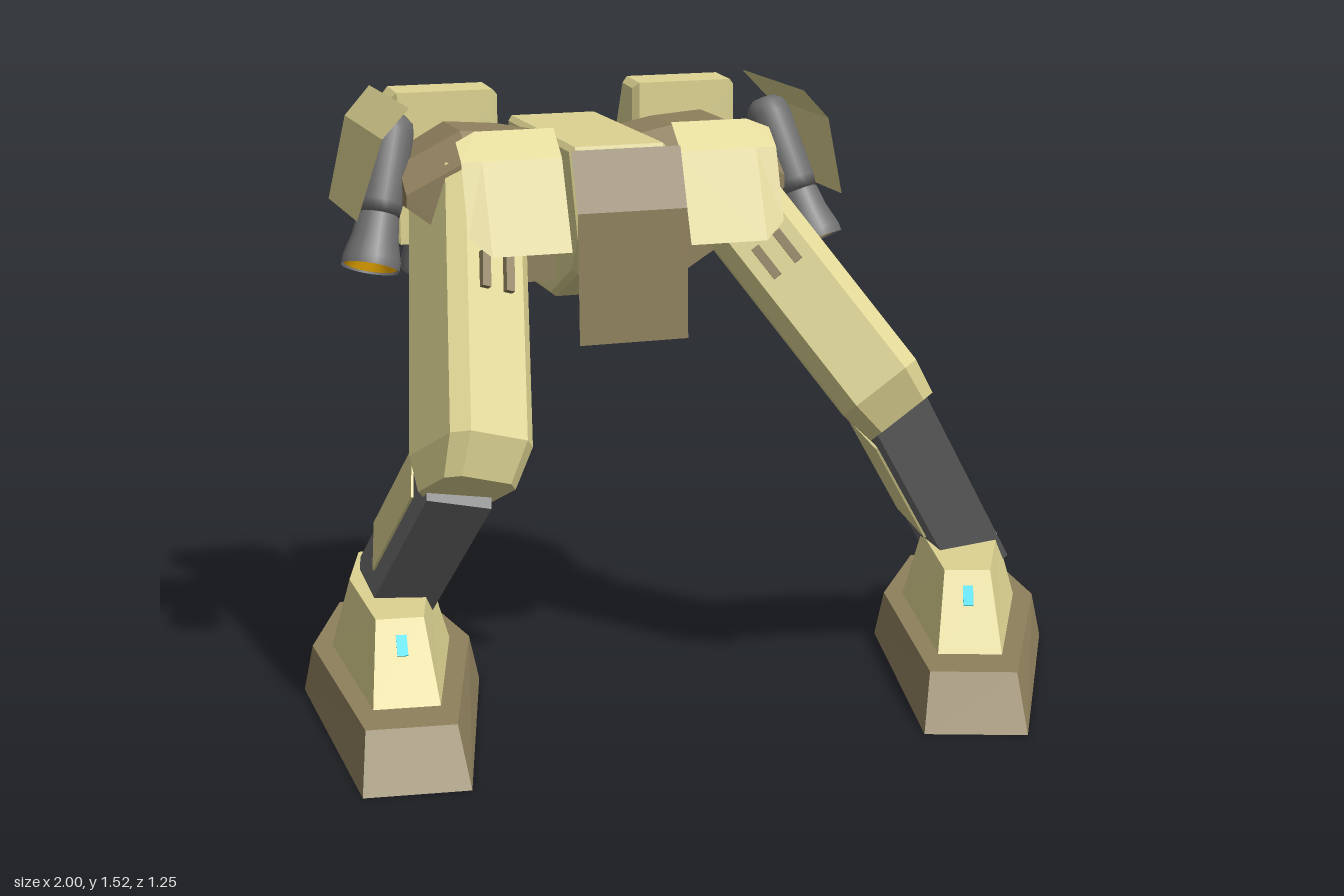
import * as THREE from 'three';

const V = (x, y, z) => new THREE.Vector3(x, y, z);
const paint = (color, extra = {}) => new THREE.MeshStandardMaterial({ color, ...extra });
const flat = { flatShading: true };
const TAN = paint(0xddd391, flat), BROWN = paint(0x8f805d, flat), GREY = paint(0x6e6e6e, flat);
const TAN_SHEET = paint(0xddd391, { ...flat, side: THREE.DoubleSide });
const BROWN_SHEET = paint(0x8f805d, { ...flat, side: THREE.DoubleSide });
const METAL = paint(0x6e6e6e, { side: THREE.DoubleSide });
const GLOW = paint(0xffb800, { side: THREE.DoubleSide }), CYAN = paint(0x18d5e8);
const MID = -0.285; // the hips mirror about this x

function add(parent, name, geometry, material) {
  const mesh = new THREE.Mesh(geometry, material);
  mesh.name = name;
  parent.add(mesh);
  return mesh;
}

function fromTriangles(points) {
  const g = new THREE.BufferGeometry().setFromPoints(points);
  g.computeVertexNormals();
  return g;
}

// Closed solid from rings stacked upward, each counter-clockwise seen from above
function loft(rings) {
  const out = [], n = rings[0].length, top = rings[rings.length - 1], low = rings[0];
  for (let r = 0; r + 1 < rings.length; r++) {
    for (let i = 0; i < n; i++) {
      const j = (i + 1) % n, a = rings[r], b = rings[r + 1];
      out.push(a[i], a[j], b[j], a[i], b[j], b[i]);
    }
  }
  for (let i = 1; i + 1 < n; i++) out.push(top[0], top[i], top[i + 1], low[0], low[i + 1], low[i]);
  return fromTriangles(out);
}

// Thin folded plate from rows of points
function sheet(rows) {
  const out = [];
  for (let r = 0; r + 1 < rows.length; r++) {
    for (let i = 0; i + 1 < rows[r].length; i++) {
      const a = rows[r], b = rows[r + 1];
      out.push(a[i], b[i], b[i + 1], a[i], b[i + 1], a[i + 1]);
    }
  }
  return fromTriangles(out);
}

// Side profile of [z, y] points given width along x, with a small bevel
function slab(profile, width, bevel) {
  const shape = new THREE.Shape(profile.map(([z, y]) => new THREE.Vector2(-z, y)));
  const g = new THREE.ExtrudeGeometry(shape, {
    depth: width - 2 * bevel, bevelEnabled: bevel > 0, bevelSize: bevel,
    bevelThickness: bevel, bevelOffset: -bevel, bevelSegments: 1,
  });
  return g.translate(0, 0, bevel - width / 2).rotateY(Math.PI / 2);
}

// Chamfered rectangle ring at height y, from z = back to z = front
function ringAt(y, w, back, front, c) {
  const a = w / 2;
  return [[a, front - c], [a, back + c], [a - c, back], [c - a, back], [-a, back + c], [-a, front - c], [c - a, front], [a - c, front]]
    .map(([x, z]) => V(x, y, z));
}

// Group whose origin is at top, whose -y runs to bottom and whose x follows side
function limb(parent, name, top, bottom, side) {
  const group = new THREE.Group();
  const up = top.clone().sub(bottom).normalize();
  const x = side.clone().addScaledVector(up, -side.dot(up)).normalize();
  group.name = name;
  group.quaternion.setFromRotationMatrix(new THREE.Matrix4().makeBasis(x, up, x.clone().cross(up)));
  group.position.copy(top);
  parent.add(group);
  return group;
}

// Rocket nozzle opening downward, with a glowing inside
function nozzle(parent, radius, height, y) {
  const bell = [[0.55, 1], [0.72, 0.9], [0.8, 0.55], [1, 0.15], [1, 0]];
  const profile = bell.map(([r, h]) => new THREE.Vector2(r * radius, (h - 1) * height));
  add(parent, 'nozzle', new THREE.LatheGeometry(profile, 20), METAL).position.y = y;
  const glow = new THREE.ConeGeometry(radius * 0.9, height * 0.6, 20, 1, true);
  add(parent, 'nozzleGlow', glow, GLOW).position.y = y - height * 0.67;
}

function addLeg(root, { name, hip, thighEnd, thighSide, knee, ankle, shinSide }) {
  // Thigh with chamfered edges and two vents
  const L = hip.distanceTo(thighEnd);
  const thigh = limb(root, name + 'Thigh', hip, thighEnd, thighSide);
  add(thigh, 'thighArmor', loft([
    ringAt(-L, 0.19, -0.1, 0.08, 0.03), ringAt(-L + 0.09, 0.22, -0.12, 0.14, 0.035),
    ringAt(-0.04, 0.22, -0.12, 0.125, 0.035), ringAt(0.05, 0.17, -0.08, 0.08, 0.03),
  ]), TAN);
  for (const s of [-1, 1]) {
    add(thigh, 'thighVent', new THREE.BoxGeometry(0.022, 0.09, 0.03), BROWN).position.set(s * 0.032, -0.31, 0.132);
  }
  // Shin with armour wrapped round its back
  const S = knee.distanceTo(ankle);
  const shin = limb(root, name + 'Shin', knee, ankle, shinSide);
  add(shin, 'shinFrame', new THREE.BoxGeometry(0.155, S + 0.04, 0.2), GREY).position.y = -S / 2 - 0.02;
  add(shin, 'shinArmor', new THREE.BoxGeometry(0.167, S * 0.6, 0.135), TAN).position.set(0, -S * 0.5, -0.045);
}

// Six-sided foot slice: half widths at toe, middle and heel, then toe and heel z
function footRing(y, toe, mid, heel, zToe, zHeel) {
  return [[mid, -0.18], [heel, zHeel], [-heel, zHeel], [-mid, -0.18], [-toe, zToe], [toe, zToe]]
    .map(([x, z]) => V(x, y, z));
}

function addFoot(root, name, x, z, turn) {
  const foot = new THREE.Group();
  foot.name = name + 'Foot';
  foot.position.set(x, 0, z);
  foot.rotation.y = turn;
  root.add(foot);
  add(foot, 'sole', loft([
    footRing(0, 0.125, 0.222, 0.13, 0.567, -0.555), footRing(0.115, 0.107, 0.198, 0.11, 0.44, -0.52),
  ]), BROWN);
  add(foot, 'footArmor', loft([
    footRing(0.115, 0.08, 0.148, 0.085, 0.31, -0.46), footRing(0.285, 0.058, 0.1, 0.062, 0.15, -0.41),
  ]), TAN);
  const lamp = add(foot, 'toeLamp', new THREE.BoxGeometry(0.026, 0.055, 0.006), CYAN);
  lamp.position.set(0, 0.232, 0.2);
  lamp.rotation.x = -0.755;
}

function addHipSide(root, s) {
  const X = (u) => MID + s * u;
  const side = new THREE.Group();
  side.name = s > 0 ? 'leftHip' : 'rightHip';
  root.add(side);

  // Hip block, its underside rising and its top falling outward
  const block = [[0.1, 1.08, 1.41, 0.05], [0.2, 1.08, 1.43, 0.05], [0.33, 1.16, 1.44, 0.05], [0.475, 1.27, 1.36, 0.02]];
  const rows = block.map(([u, y0, y1, z]) => [
    V(X(u), y0, z), V(X(u), y1 - 0.06, z), V(X(u), y1, z - 0.08),
    V(X(u), y1, -0.2), V(X(u), y1 - 0.06, -0.27), V(X(u), y0, -0.27), V(X(u), y0, z),
  ]);
  add(side, 'hipBlock', sheet(rows), BROWN_SHEET);
  const end = rows[3];
  add(side, 'hipBlockEnd', sheet([end.slice(0, 3), [end[5], end[4], end[3]]]), BROWN_SHEET);

  // Front skirt with its outer corner trimmed
  const skirt = [[1.46, 1.44, 0.13, 0.15], [1.4, 1.4, 0.2, 0.2], [1.19, 1.23, 0.28, 0.255]];
  add(side, 'frontSkirt', sheet(skirt.map(([y, yOut, z, zOut]) =>
    [V(X(0.145), y, z), V(X(0.335), y, z), V(X(0.385), yOut, zOut)])), TAN_SHEET);

  // Side shield
  const shield = [[0.485, 1.52, 0.12, -0.32], [0.55, 1.45, 0.12, -0.31], [0.605, 1.255, 0.075, -0.265]];
  add(side, 'sideShield', sheet(shield.map(([u, y, z0, z1]) => [V(X(u), y, z0), V(X(u), y, z1)])), TAN_SHEET);

  // Side thruster, tucked inside the shield
  const pod = limb(side, 'sideThruster', V(X(0.468), 1.475, -0.12), V(X(0.563), 1.13, 0.005), V(1, 0, 0));
  const can = [[0, -0.25], [0.05, -0.25], [0.054, -0.22], [0.054, -0.045], [0.048, -0.02], [0.03, -0.004], [0, 0]];
  add(pod, 'thrusterBody', new THREE.LatheGeometry(can.map(([r, y]) => new THREE.Vector2(r, y)), 20), METAL);
  nozzle(pod, 0.07, 0.14, -0.24);

  // Rear pack with two bent vents and two nozzles
  const packProfile = [[-0.26, 1.505], [-0.365, 1.51], [-0.435, 1.37], [-0.435, 1.26], [-0.4, 1.13], [-0.26, 1.13]];
  add(side, 'rearPack', slab(packProfile, 0.27, 0.015), TAN).position.x = X(0.31);
  const ventProfile = [[-0.38, 1.44], [-0.405, 1.45], [-0.448, 1.36], [-0.448, 1.25], [-0.43, 1.21], [-0.4, 1.22]];
  for (const k of [-1, 1]) {
    const x = X(0.31 + k * 0.045);
    add(side, 'packVent', slab(ventProfile, 0.025, 0), BROWN).position.x = x;
    const jet = limb(side, 'packThruster', V(x, 1.16, -0.38), V(x, 1.04, -0.415), V(1, 0, 0));
    nozzle(jet, 0.044, 0.125, 0);
  }
}

export function createModel() {
  const root = new THREE.Group();
  root.name = 'walkerLegs';

  // Pelvis
  const pelvis = [[0.18, 1.42], [0.25, 1.21], [0.19, 1.12], [0, 1.03], [-0.3, 1.03], [-0.39, 1.28], [-0.39, 1.42]];
  add(root, 'pelvis', slab(pelvis, 0.24, 0.012), TAN).position.x = MID;
  add(root, 'frontPlate', sheet([[1.42, 0.235], [1.28, 0.285], [0.97, 0.29]].map(([y, z]) =>
    [V(MID - 0.133, y, z), V(MID + 0.133, y, z)])), BROWN_SHEET);
  for (const s of [-1, 1]) addHipSide(root, s);

  // Legs, each in its own pose
  addLeg(root, {
    name: 'left', hip: V(0.01, 1.33, -0.1), thighEnd: V(0.425, 0.715, 0.225), thighSide: V(0.77, 0.6, 0.12),
    knee: V(0.4, 0.76, 0.15), ankle: V(0.76, 0.25, -0.14), shinSide: V(0.8, 0.55, 0.05),
  });
  addLeg(root, {
    name: 'right', hip: V(-0.585, 1.33, -0.1), thighEnd: V(-0.7, 0.66, 0.33), thighSide: V(0.95, -0.3, -0.2),
    knee: V(-0.7, 0.69, 0.24), ankle: V(-0.765, 0.25, -0.24), shinSide: V(0.96, -0.2, 0.06),
  });
  addFoot(root, 'left', 0.684, 0.05, -0.36);
  addFoot(root, 'right', -0.8, -0.055, -0.14);
  return root;
}
